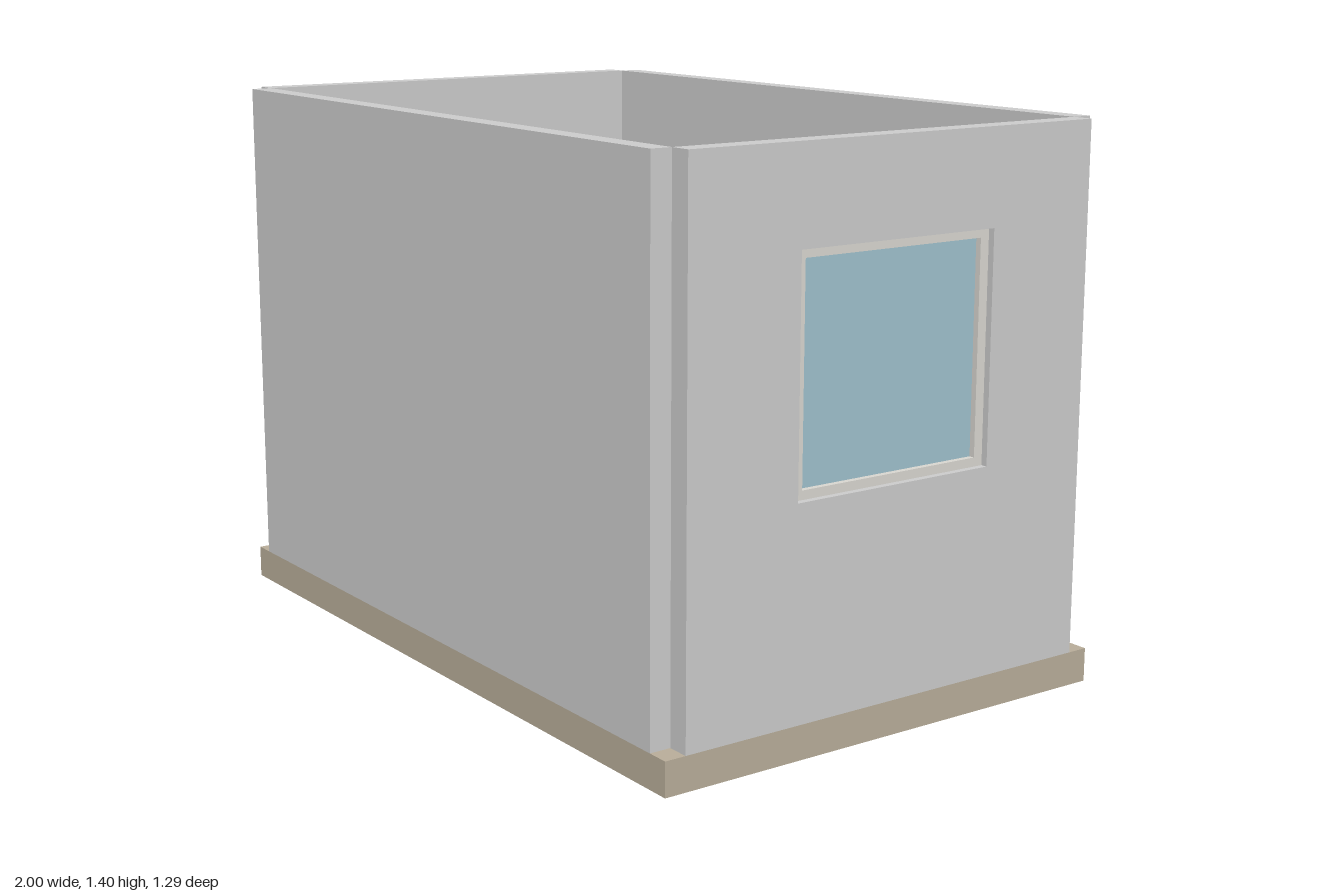
import * as THREE from 'three';

const material = (color) => new THREE.MeshStandardMaterial({ color });
const grey = material(0xcccccc);
const stone = material(0xb8ad99);
const wood = material(0xb0916b);
const white = material(0xd8d6d0);
const rust = material(0xad7d66);
const teal = material(0x4f8a90);
const glass = material(0x9fc0cc);
const dark = material(0x444444);

// Box given by its extents along each axis
function box(parent, name, mat, [x0, x1], [y0, y1], [z0, z1]) {
  const mesh = new THREE.Mesh(new THREE.BoxGeometry(x1 - x0, y1 - y0, Math.abs(z1 - z0)), mat);
  mesh.name = name;
  mesh.position.set((x0 + x1) / 2, (y0 + y1) / 2, (z0 + z1) / 2);
  parent.add(mesh);
  return mesh;
}

function group(parent, name) {
  const g = new THREE.Group();
  g.name = name;
  parent.add(g);
  return g;
}

const FLOOR = 0.085, TOP = 1.405;

function buildShell(root) {
  box(root, 'floorSlab', stone, [-1, 1], [0, FLOOR], [-0.645, 0.645]);
  for (const s of [-1, 1]) {
    box(root, s > 0 ? 'frontWall' : 'backWall', grey, [-0.943, 0.943], [FLOOR, TOP], [s * 0.59, s * 0.645]);
  }
  // Window wall, in panels around the opening
  const windowWall = group(root, 'windowWall');
  const wx = [0.943, 1];
  box(windowWall, 'lowerPanel', grey, wx, [FLOOR, 0.605], [-0.59, 0.59]);
  box(windowWall, 'upperPanel', grey, wx, [1.17, TOP], [-0.59, 0.59]);
  for (const s of [-1, 1]) box(windowWall, 'sidePanel', grey, wx, [0.605, 1.17], [s * 0.285, s * 0.59]);

  // Door wall
  const doorWall = group(root, 'doorWall');
  const dx = [-1, -0.943];
  box(doorWall, 'lintel', grey, dx, [1.1, TOP], [-0.238, 0.238]);
  for (const s of [-1, 1]) box(doorWall, 'sidePanel', grey, dx, [FLOOR, TOP], [s * 0.238, s * 0.59]);
}

function buildWindow(root) {
  const win = group(root, 'window');
  const fx = [0.945, 0.983];
  for (const s of [-1, 1]) box(win, 'jamb', white, fx, [0.605, 1.17], [s * 0.26, s * 0.285]);
  box(win, 'headRail', white, fx, [1.148, 1.17], [-0.26, 0.26]);
  box(win, 'bottomRail', white, fx, [0.605, 0.627], [-0.26, 0.26]);
  box(win, 'pane', glass, [0.96, 0.968], [0.627, 1.148], [-0.26, 0.26]);
  box(win, 'mullion', white, [0.945, 0.96], [0.627, 1.148], [-0.012, 0.012]);
  box(win, 'innerSill', white, [0.885, 0.945], [0.59, 0.607], [-0.29, 0.29]);
}

function buildDoor(root) {
  const door = group(root, 'door');
  const fx = [-0.995, -0.935];
  for (const s of [-1, 1]) box(door, 'jamb', wood, fx, [FLOOR, 1.1], [s * 0.222, s * 0.238]);
  box(door, 'head', wood, fx, [1.085, 1.1], [-0.222, 0.222]);
  // Leaf standing open into the room
  box(door, 'leaf', wood, [-0.935, -0.525], [0.09, 1.09], [0.2, 0.218]);
  for (const [a, b] of [[0.175, 0.2], [0.218, 0.245]]) {
    box(door, 'handle', dark, [-0.605, -0.552], [0.56, 0.58], [a, b]);
  }
}

function buildBed(side, cover) {
  const bed = group(side, 'bed');
  box(bed, 'bedFrame', wood, [-0.025, 0.89], [0.13, 0.21], [0.145, 0.565]);
  box(bed, 'headboard', wood, [0.89, 0.915], [FLOOR, 0.46], [0.145, 0.565]);
  for (const x of [-0.025, 0.85]) {
    for (const z of [0.145, 0.525]) box(bed, 'leg', wood, [x, x + 0.04], [FLOOR, 0.13], [z, z + 0.04]);
  }
  box(bed, 'mattress', white, [-0.01, 0.888], [0.21, 0.28], [0.16, 0.555]);
  box(bed, 'blanket', cover, [-0.015, 0.685], [0.225, 0.288], [0.155, 0.56]);
  box(bed, 'foldedSheet', white, [-0.008, 0.095], [0.288, 0.3], [0.155, 0.56]);
  box(bed, 'pillow', white, [0.66, 0.828], [0.28, 0.325], [0.215, 0.5]);
}

function buildDesk(side, cover) {
  const desk = group(side, 'desk');
  box(desk, 'deskTop', wood, [-0.495, -0.075], [0.425, 0.445], [0.335, 0.565]);
  for (const x of [-0.485, -0.105]) {
    for (const z of [0.345, 0.535]) box(desk, 'deskLeg', wood, [x, x + 0.02], [FLOOR, 0.425], [z, z + 0.02]);
  }
  box(desk, 'notebook', white, [-0.312, -0.185], [0.445, 0.455], [0.393, 0.508]);
  // Stack of books, each set a little further in
  [teal, white, rust].forEach((mat, i) => {
    const y = 0.445 + i * 0.014;
    box(desk, 'book', mat, [-0.481 + i * 0.012, -0.352], [y, y + 0.014], [0.445, 0.515]);
  });

  const stool = group(side, 'stool');
  box(stool, 'seat', cover, [-0.38, -0.195], [0.28, 0.305], [0.18, 0.36]);
  for (const x of [-0.375, -0.216]) {
    for (const z of [0.185, 0.34]) box(stool, 'stoolLeg', wood, [x, x + 0.016], [FLOOR, 0.28], [z, z + 0.016]);
  }
}

function buildWardrobe(side) {
  const wardrobe = group(side, 'wardrobe');
  box(wardrobe, 'cabinet', white, [-0.915, -0.615], [FLOOR, 1.08], [0.312, 0.565]);
  box(wardrobe, 'woodDoor', wood, [-0.913, -0.768], [0.1, 1.07], [0.302, 0.312]);
  box(wardrobe, 'paleDoor', white, [-0.764, -0.617], [0.1, 1.07], [0.302, 0.312]);
  for (const x of [-0.787, -0.745]) box(wardrobe, 'pull', dark, [x, x + 0.01], [0.54, 0.64], [0.29, 0.302]);
}

export function createModel() {
  const root = new THREE.Group();
  root.name = 'bedroom';
  buildShell(root);
  buildWindow(root);
  buildDoor(root);
  // Furniture mirrored along both long walls
  for (const s of [-1, 1]) {
    const side = group(root, s > 0 ? 'frontFurniture' : 'backFurniture');
    const cover = s > 0 ? teal : rust;
    buildBed(side, cover);
    buildDesk(side, cover);
    buildWardrobe(side);
    for (const mesh of side.children.flatMap((g) => g.children)) mesh.position.z *= s;
    side.position.z = -0.004;
  }
  return root;
}
